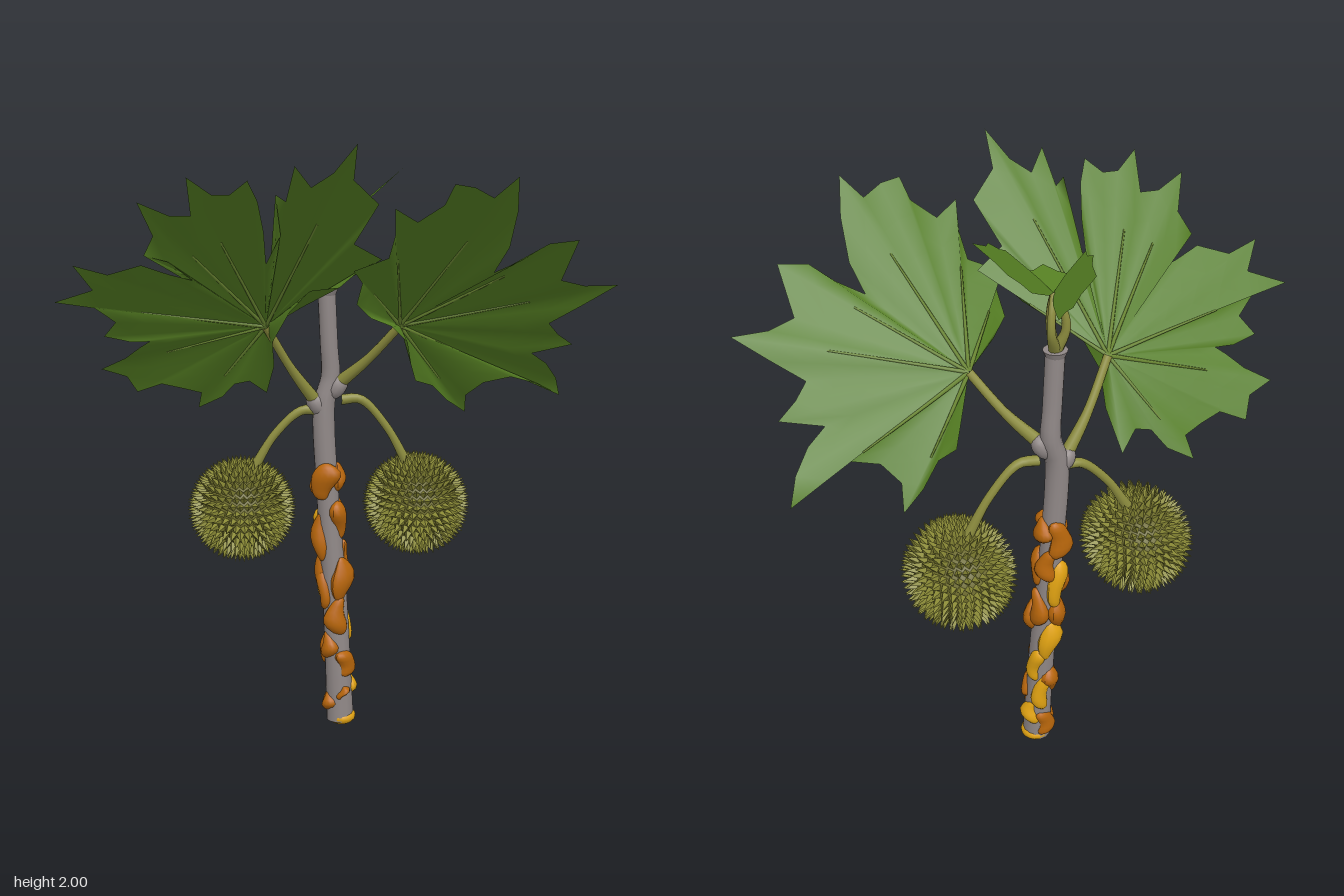
import * as THREE from 'three';
import { mergeGeometries } from 'three/addons/utils/BufferGeometryUtils.js';

const V = (x, y, z) => new THREE.Vector3(x, y, z);
const flat = (name, color, side = THREE.FrontSide) => {
  const m = new THREE.MeshStandardMaterial({ color, side });
  m.name = name;
  return m;
};

// Leaf edges in hundredths of a unit, measured from the petiole joint
const RIGHT_LEAF = [2,-5, 3,-14, 1,-25, -5,-20, -10,-21, -14,-26, -22,-30, -21,-24, -27,-22, -34,-20,
  -42,-23, -45,-17, -53,-14, -45,-10, -40,-6, -37,-4, -43,-4, -51,-2, -47,3, -53,8, -65,10, -53,14,
  -58,22, -48,19, -38,22, -30,19, -23,17, -30,23, -37,25, -34,31, -38,41, -29,37, -23,37, -24,48,
  -17,43, -12,43, -7,47, -4,41, -2,32, -1,22, 3,31, 1,43, 4,41, 6,51, 11,45, 17,49, 23,57, 23,47,
  31,40, 28,34, 25,28, 34,23, 28,20, 22,14, 13,13, 7,6];
const LEFT_LEAF = [2,-5, 5,-15, 7,-20, 13,-22, 19,-28, 26,-33, 25,-26, 30,-21, 39,-19, 49,-22, 58,-27,
  55,-20, 50,-14, 44,-10, 57,-7, 51,-3, 47,1, 56,7, 66,14, 55,14, 47,16, 49,29, 40,28, 33,23, 25,19,
  28,27, 28,38, 26,48, 20,42, 14,45, 8,46, 6,40, -1,35, -8,39, -7,31, -8,24, -18,20, -15,16, -16,9,
  -11,4, -4,1];

// Surface patch: rings shrinking from an edge to a centre, placed by a rule
function fan(edge, place, rings = 5) {
  const n = edge.length, pos = [...place(0, 0, 0).toArray()], idx = [];
  for (let r = 1; r <= rings; r++) {
    const t = r / rings;
    for (const [a, b] of edge) pos.push(...place(a * t, b * t, t).toArray());
  }
  for (let i = 0; i < n; i++) {
    const j = (i + 1) % n;
    idx.push(0, 1 + i, 1 + j);
    for (let r = 0; r < rings - 1; r++) {
      const a = 1 + r * n + i, b = 1 + r * n + j;
      idx.push(a, a + n, b + n, a, b + n, b);
    }
  }
  const g = new THREE.BufferGeometry();
  g.setAttribute('position', new THREE.Float32BufferAttribute(pos, 3));
  g.setIndex(idx);
  g.computeVertexNormals();
  return g;
}

// Tube along points whose radius follows a list
function taperTube(points, radii, seg = 16, sides = 10) {
  const curve = new THREE.CatmullRomCurve3(points);
  const g = new THREE.TubeGeometry(curve, seg, 1, sides);
  const p = g.attributes.position, v = V(0, 0, 0);
  for (let i = 0; i <= seg; i++) {
    const c = curve.getPointAt(i / seg), f = i / seg * (radii.length - 1);
    const k = Math.min(Math.floor(f), radii.length - 2);
    const r = THREE.MathUtils.lerp(radii[k], radii[k + 1], f - k);
    for (let j = 0; j <= sides; j++) {
      const q = i * (sides + 1) + j;
      v.fromBufferAttribute(p, q).sub(c).multiplyScalar(r).add(c);
      p.setXYZ(q, v.x, v.y, v.z);
    }
  }
  return g;
}

// Ball covered in rows of four-sided spikes
function spikes(radius, length, rows) {
  const parts = [], up = V(0, 1, 0);
  for (let i = 0; i < rows; i++) {
    const lat = Math.PI * (i + 0.5) / rows, n = Math.max(3, Math.round(2 * rows * Math.sin(lat)));
    for (let j = 0; j < n; j++) {
      const dir = V().setFromSphericalCoords(1, lat, 2 * Math.PI * (j + (i % 2) / 2) / n);
      const cone = new THREE.ConeGeometry(0.016, length, 4, 1, true).toNonIndexed();
      cone.computeVertexNormals();
      cone.applyQuaternion(new THREE.Quaternion().setFromUnitVectors(up, dir));
      cone.translate(...dir.multiplyScalar(radius + length / 2 - 0.006).toArray());
      parts.push(cone);
    }
  }
  return mergeGeometries(parts);
}

export function createModel() {
  const root = new THREE.Group();
  const bark = flat('grey bark', 0x908887), leafGreen = flat('leaf green', 0x547d22, THREE.DoubleSide);
  const veinGreen = flat('vein green', 0x6a8632), stalk = flat('olive stalk', 0x8c8c3e);
  const core = flat('dark olive husk', 0x6a6828), spike = flat('olive spike', 0x8a8a36);
  const orange = flat('orange fungus', 0xb8660b), yellow = flat('yellow fungus', 0xe0a212);
  const add = (name, geo, mat, parent = root) => {
    const m = new THREE.Mesh(geo, mat);
    m.name = name;
    parent.add(m);
    return m;
  };

  // Stem with a rim at the cut top and swollen nodes
  const stemPts = [V(0.028, 0.02, -0.17), V(0.02, 0.25, -0.178), V(0.01, 0.5, -0.19), V(-0.012, 0.85, -0.2),
    V(-0.022, 1.15, -0.205), V(0, 1.24, -0.21), V(-0.005, 1.35, -0.207), V(-0.013, 1.53, -0.205)];
  const stemCurve = new THREE.CatmullRomCurve3(stemPts);
  add('stem', taperTube(stemPts, [0.048, 0.045, 0.043, 0.04, 0.038, 0.038, 0.03, 0.03], 48, 14), bark);
  add('stemRim', new THREE.CylinderGeometry(0.038, 0.03, 0.02, 14), bark).position.set(-0.013, 1.525, -0.205);
  for (const [x, y, tilt] of [[-0.046, 1.15, 0.6], [0.022, 1.21, -0.6]]) {
    const node = add('stemNode', new THREE.SphereGeometry(0.032, 12, 8), bark);
    node.position.set(x, y, -0.2);
    node.scale.y = 1.5;
    node.rotation.z = tilt;
  }

  // Large lobed leaves, raised along the middle of each lobe, with petioles and veins
  const leaves = [
    { name: 'rightLeaf', edge: RIGHT_LEAF, at: [-0.22, 1.43], z: -0.045, dip: 0.055, foot: V(-0.05, 1.16, -0.2),
      tips: [[-22, -30], [-53, -14], [-65, 10], [-38, 41], [-24, 48], [23, 57], [34, 23]] },
    { name: 'leftLeaf', edge: LEFT_LEAF, at: [0.21, 1.43], z: 0.01, dip: 0.08, foot: V(0.025, 1.22, -0.2),
      tips: [[26, -33], [58, -27], [66, 14], [49, 29], [26, 48], [-8, 39], [-18, 20]] }];
  for (const L of leaves) {
    const group = new THREE.Group();
    group.name = L.name;
    root.add(group);
    const place = (a, b, t) => {
      const droop = 5e-6 * a * a + 0.0012 * Math.max(0, -b) * Math.max(0, 1 - Math.abs(a) / 30);
      return V(L.at[0] + a / 100, L.at[1] + b / 100, L.z + 0.0078 * b - droop - L.dip * (1 - t));
    };
    const edge = [];
    for (let i = 0; i < L.edge.length; i += 2) edge.push([L.edge[i], L.edge[i + 1]]);
    add('blade', fan(edge, place), leafGreen, group);
    for (const [a, b] of L.tips)
      add('vein', taperTube([0, 0.2, 0.4, 0.6].map(t => place(a * t, b * t, t)), [0.007, 0.005, 0.003], 9, 6), veinGreen, group);
    const joint = place(0, 0, 0), mid = L.foot.clone().lerp(joint, 0.5).add(V(0, -0.015, -0.01));
    add('petiole', taperTube([L.foot, mid, joint], [0.023, 0.015, 0.014]), stalk, group);
  }

  // Spiny round fruits hanging from arched stalks
  const spikeGeo = spikes(0.145, 0.047, 19);
  for (const side of [-1, 1]) {
    const fruit = new THREE.Group();
    fruit.name = side < 0 ? 'rightFruit' : 'leftFruit';
    fruit.position.set(side < 0 ? -0.303 : 0.293, 0.8, -0.193);
    fruit.scale.set(1, 0.97, 1.12);
    root.add(fruit);
    add('husk', new THREE.SphereGeometry(0.148, 28, 20), core, fruit);
    add('spines', spikeGeo, spike, fruit);
    const lift = side > 0 ? 0.035 : 0;
    add('fruitStalk', taperTube([V(side * 0.035, 1.13 + lift, -0.2), V(side * 0.1, 1.13 + lift, -0.2),
      V(side * 0.19, 1.05 + lift / 2, -0.2), V(side * 0.265, 0.93, -0.198)], [0.018, 0.014, 0.014, 0.018], 20), stalk);
  }

  // Young shoot: bowed stalks carrying three small leaves
  const half = [[-1, 0], [-0.75, 0.42], [-0.4, 0.75], [-0.1, 1], [0.1, 0.8], [0.4, 0.75], [0.55, 0.42], [1, 0]];
  const smallEdge = [...half, ...half.slice(1, -1).reverse().map(([u, v]) => [u, -v])];
  const shoots = [
    { tip: V(0.245, 1.918, -0.265), across: V(0, 0.015, 0.115), bow: [0.022, -0.03] },
    { tip: V(-0.08, 1.81, -0.34), across: V(0.06, -0.07, -0.06), bow: [-0.028, -0.012] },
    { tip: V(-0.015, 1.75, -0.085), across: V(0.08, 0.01, 0.01), bow: [0.004, 0.032] }];
  for (const { tip, across, bow } of shoots) {
    const foot = V(-0.005, 1.715, -0.205), along = tip.clone().sub(foot).multiplyScalar(0.5);
    const place = (u, v) => foot.clone().addScaledVector(along, u + 1).addScaledVector(across, v);
    add('youngLeaf', fan(smallEdge, place, 2), leafGreen);
    add('youngStalk', taperTube([V(-0.013, 1.53, -0.205), V(-0.012 + bow[0], 1.6, -0.205 + bow[1]),
      V(-0.01 + bow[0] * 0.8, 1.66, -0.205 + bow[1] * 0.8), foot], [0.02, 0.014, 0.012, 0.009]), stalk);
  }

  // Fungus patches hugging the stem: height, angle from the front, half height, half width, yellow?
  const patches = [[0.89, -20, 0.065, 0.046, 0], [0.9, 90, 0.05, 0.038, 0], [0.88, 190, 0.07, 0.042, 0],
    [0.75, 60, 0.07, 0.036, 0], [0.69, -75, 0.085, 0.03, 0], [0.78, 145, 0.06, 0.033, 0], [0.7, 205, 0.09, 0.034, 1],
    [0.54, 42, 0.08, 0.042, 0], [0.6, 110, 0.075, 0.034, 0], [0.5, -70, 0.07, 0.026, 0], [0.57, 240, 0.08, 0.036, 0],
    [0.41, 5, 0.07, 0.037, 0], [0.36, 130, 0.07, 0.03, 1], [0.47, 190, 0.08, 0.036, 1], [0.3, -60, 0.05, 0.03, 0],
    [0.235, 40, 0.05, 0.042, 0], [0.28, 230, 0.06, 0.034, 0], [0.14, 125, 0.05, 0.03, 1], [0.24, 175, 0.08, 0.032, 1],
    [0.13, 10, 0.025, 0.016, 0], [0.09, -75, 0.04, 0.024, 0], [0.09, 200, 0.055, 0.038, 0]];
  patches.forEach(([y, deg, h, w, isYellow], k) => {
    const g = new THREE.SphereGeometry(1, 14, 10), p = g.attributes.position;
    for (let i = 0; i < p.count; i++) {
      const yy = p.getY(i), wave = 1 + 0.2 * Math.sin(3 * yy + k * 2);
      p.setXYZ(i, p.getX(i) * w * wave + 0.012 * Math.sin(2.5 * yy + k), yy * h, p.getZ(i) * 0.027 * wave);
    }
    g.computeVertexNormals();
    const c = stemCurve.getPoint(0), a = deg * Math.PI / 180;
    for (let t = 0; t < 1 && c.y < y; t += 0.005) c.copy(stemCurve.getPoint(t));
    const patch = add('fungusPatch', g, isYellow ? yellow : orange);
    patch.position.set(c.x + Math.sin(a) * 0.036, y, c.z + Math.cos(a) * 0.036);
    patch.rotation.y = a;
  });
  const foot = add('fungusFoot', new THREE.SphereGeometry(0.05, 16, 10), yellow);
  foot.position.set(0.033, 0.03, -0.17);
  foot.scale.y = 0.6;
  return root;
}
